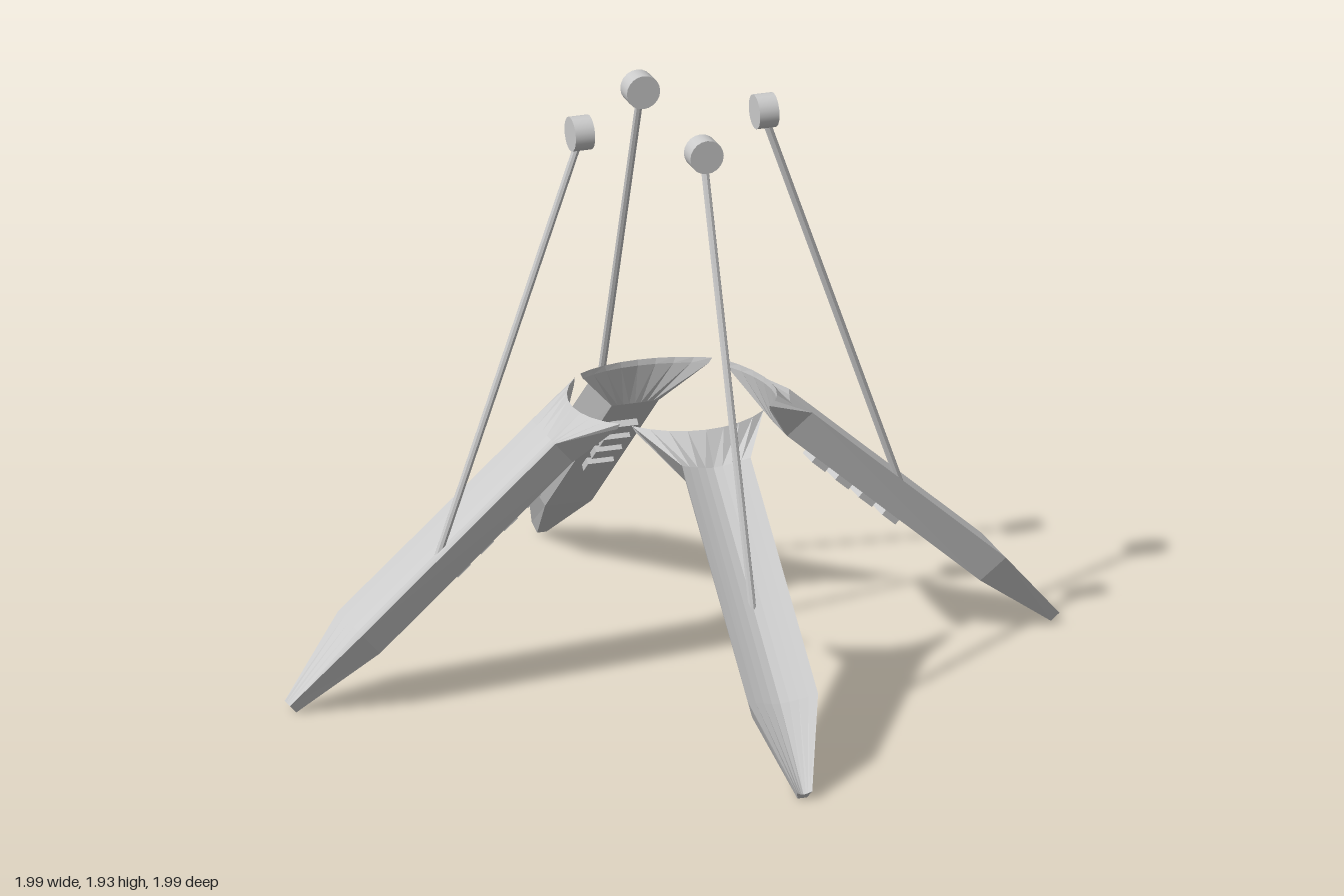
import * as THREE from 'three';

const flat = new THREE.MeshStandardMaterial({ color: 0xcccccc, flatShading: true });
const smooth = new THREE.MeshStandardMaterial({ color: 0xcccccc });
const N = 9; // points across the top and across the bottom of each section

// Local leg frame: x across the leg, y up, z outward from the centre.
// Downward normal of the sloping leg, in (y, z).
const NY = -0.752, NZ = -0.66;

// Trough section: grooved top, sloping sides, flat bottom
function troughSection({ z, y, top, bottom, depth, groove }) {
  const pts = [];
  for (let i = 0; i < N; i++) {
    const u = (i / (N - 1)) * 2 - 1;
    const d = groove * (1 - Math.abs(u) ** 1.4);
    pts.push([u * top, y + NY * d, z + NZ * d]);
  }
  for (let i = N - 1; i >= 0; i--) {
    const u = (i / (N - 1)) * 2 - 1;
    pts.push([u * bottom, y + NY * depth, z + NZ * depth]);
  }
  return pts;
}

// Flared collar: a thin arc around the central axis
function collarSection() {
  const pts = [];
  const arc = (u, a, r, y) =>
    pts.push([r * Math.sin(u * a), y + 0.01 * u * u, r * Math.cos(u * a)]);
  for (let i = 0; i < N; i++) arc((i / (N - 1)) * 2 - 1, 0.725, 0.34, 0.945);
  for (let i = N - 1; i >= 0; i--) arc((i / (N - 1)) * 2 - 1, 0.69, 0.338, 0.925);
  return pts;
}

// Skin the sections and close both ends
function loft(sections) {
  const M = 2 * N, index = [], last = (sections.length - 1) * M;
  for (let s = 0; s < sections.length - 1; s++) {
    for (let i = 0; i < M; i++) {
      const j = (i + 1) % M, a = s * M + i, b = s * M + j;
      index.push(a, a + M, b, b, a + M, b + M);
    }
  }
  for (let i = 0; i < N - 1; i++) {
    const p = i, q = i + 1, r = M - 2 - i, t = M - 1 - i;
    index.push(p, q, r, p, r, t);
    index.push(last + p, last + r, last + q, last + p, last + t, last + r);
  }
  const g = new THREE.BufferGeometry();
  g.setAttribute('position', new THREE.Float32BufferAttribute(sections.flat(2), 3));
  g.setIndex(index);
  g.computeVertexNormals();
  return g;
}

function add(parent, name, geometry, material) {
  const mesh = new THREE.Mesh(geometry, material);
  mesh.name = name;
  parent.add(mesh);
  return mesh;
}

function createLeg() {
  const leg = new THREE.Group();

  // Blade from collar to pointed foot
  add(leg, 'legBlade', loft([
    collarSection(),
    troughSection({ z: 0.44, y: 0.87, top: 0.117, bottom: 0.08, depth: 0.112, groove: 0.04 }),
    troughSection({ z: 1.1, y: 0.29, top: 0.12, bottom: 0.08, depth: 0.112, groove: 0.04 }),
    troughSection({ z: 1.315, y: 0.04, top: 0.026, bottom: 0.016, depth: 0.038, groove: 0.016 }),
  ]), flat);

  // Row of raised treads on the underside
  for (let i = 0; i < 4; i++) {
    const z = 0.5 + i * 0.08;
    const tread = add(leg, 'underTread', new THREE.BoxGeometry(0.09, 0.045, 0.06), flat);
    tread.position.set(0, 0.786 - 0.879 * (z - 0.366), z);
    tread.rotation.x = 0.72;
  }

  // Thin strut leaning in from the groove to the disc
  const from = new THREE.Vector3(0, 0.485, 0.8), to = new THREE.Vector3(0, 1.86, 0.318);
  const dir = to.clone().sub(from);
  const strut = add(leg, 'strut', new THREE.CylinderGeometry(0.013, 0.013, dir.length(), 8), flat);
  strut.position.copy(from).add(to).multiplyScalar(0.5);
  strut.quaternion.setFromUnitVectors(new THREE.Vector3(0, 1, 0), dir.normalize());

  // Disc facing outward at the strut's top
  const disc = add(leg, 'strutDisc', new THREE.CylinderGeometry(0.057, 0.057, 0.066, 20), smooth);
  disc.rotation.x = Math.PI / 2;
  disc.position.set(0, 1.887, 0.315);
  return leg;
}

export function createModel() {
  const model = new THREE.Group();
  model.name = 'fourLeggedStand';
  for (let k = 0; k < 4; k++) {
    const leg = createLeg();
    leg.name = 'leg' + (k + 1);
    leg.rotation.y = 0.73 + k * Math.PI / 2;
    model.add(leg);
  }
  return model;
}
